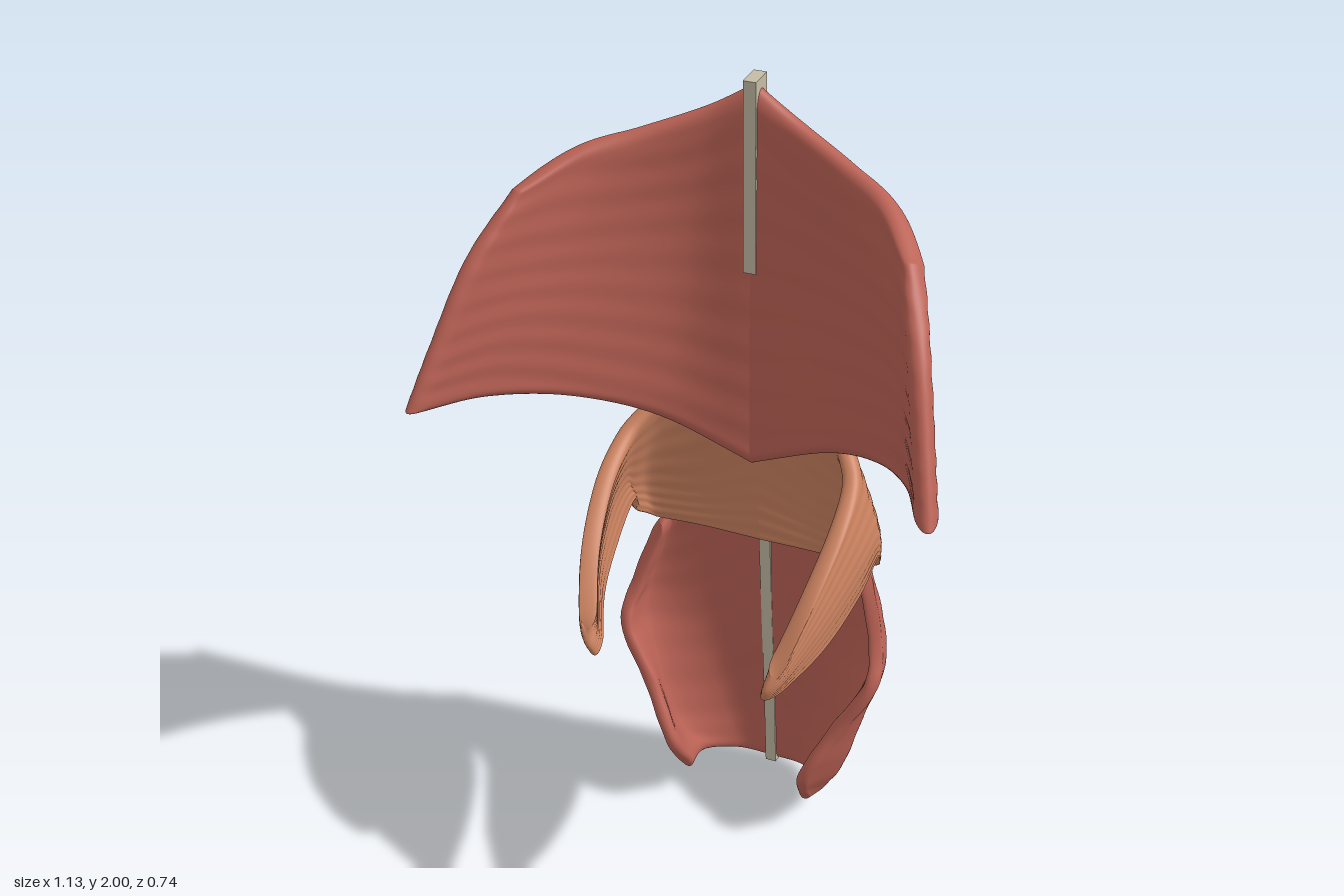
import * as THREE from 'three';
import { mergeVertices } from 'three/addons/utils/BufferGeometryUtils.js';

const redMuscle = new THREE.MeshStandardMaterial({ name: 'red muscle', color: 0xbb6255 });
const paleMuscle = new THREE.MeshStandardMaterial({ name: 'pale muscle', color: 0xcb8260 });
const tendon = new THREE.MeshStandardMaterial({ name: 'tendon', color: 0xc6bca6 });

// Each row is one muscle fibre from the rear midline to the free edge, lowest fibre first.
const UPPER = [
  [[0, 1.07, -0.17], [0.2, 1.18, -0.115], [0.36, 1.27, 0.01], [0.48, 1.34, 0.18], [0.558, 1.385, 0.365]],
  [[0, 1.36, -0.165], [0.17, 1.42, -0.135], [0.32, 1.465, -0.025], [0.44, 1.5, 0.13], [0.525, 1.51, 0.3]],
  [[0, 1.68, -0.163], [0.14, 1.68, -0.145], [0.28, 1.67, -0.06], [0.4, 1.66, 0.07], [0.478, 1.67, 0.21]],
  [[0, 1.985, -0.16], [0.1, 1.925, -0.145], [0.22, 1.88, -0.1], [0.33, 1.85, -0.03], [0.425, 1.79, 0.09]],
];
const MIDDLE = [
  [[0, 0.81, -0.235], [0.15, 0.81, -0.24], [0.265, 0.82, -0.22], [0.295, 0.86, -0.165],
    [0.3, 0.91, -0.13], [0.292, 0.87, -0.02], [0.262, 0.825, 0.13], [0.197, 0.785, 0.28]],
  [[0, 1.03, -0.222], [0.14, 0.97, -0.225], [0.262, 0.97, -0.19], [0.295, 0.98, -0.14],
    [0.303, 1.0, -0.09], [0.297, 0.975, 0.01], [0.266, 0.91, 0.15], [0.207, 0.815, 0.288]],
  [[0, 1.45, -0.18], [0.11, 1.33, -0.17], [0.2, 1.235, -0.14], [0.245, 1.185, -0.1],
    [0.266, 1.145, -0.05], [0.27, 1.085, 0.05], [0.252, 0.985, 0.17], [0.217, 0.85, 0.272]],
];
const LOWER = [
  [[0, 0.01, -0.35], [0.09, 0.025, -0.33], [0.16, 0.06, -0.25], [0.158, 0.095, -0.14]],
  [[0, 0.25, -0.33], [0.13, 0.2, -0.31], [0.225, 0.2, -0.2], [0.17, 0.23, -0.07]],
  [[0, 0.5, -0.3], [0.16, 0.4, -0.29], [0.27, 0.38, -0.2], [0.24, 0.38, -0.1]],
  [[0, 0.72, -0.28], [0.18, 0.58, -0.28], [0.3, 0.54, -0.23], [0.32, 0.52, -0.125]],
  [[0, 0.93, -0.265], [0.17, 0.76, -0.27], [0.28, 0.67, -0.25], [0.31, 0.62, -0.18]],
  [[0, 1.13, -0.245], [0.15, 0.93, -0.26], [0.23, 0.83, -0.255], [0.26, 0.79, -0.225]],
];

// Thick sheet through the fibres with rounded free edges; side is +1 (left) or -1 (right).
function sheetGeometry(rows, half, side) {
  const NU = 48, NV = 60, rim = 0.045;
  const fibres = rows.map(r => new THREE.CatmullRomCurve3(r.map(p => new THREE.Vector3(...p)), false, 'catmullrom'));
  const crossFibre = u => new THREE.CatmullRomCurve3(fibres.map(f => f.getPoint(u)), false, 'catmullrom');
  const index = [], front = [], back = [];
  const layer = (NU + 1) * (NV + 1);
  for (let i = 0; i <= NU; i++) {
    const u = Math.sin(Math.PI / 2 * i / NU);
    const here = crossFibre(u);
    const before = crossFibre(Math.max(0, u - 0.01)), after = crossFibre(Math.min(1, u + 0.01));
    for (let j = 0; j <= NV; j++) {
      const v = (1 - Math.cos(Math.PI * j / NV)) / 2;
      const p = here.getPoint(v);
      const du = after.getPoint(v).sub(before.getPoint(v));
      const dv = here.getPoint(Math.min(1, v + 0.01)).sub(here.getPoint(Math.max(0, v - 0.01)));
      const n = du.cross(dv);
      if (i === 0) n.x = 0;
      n.normalize();
      // Round off the rim and add a faint fibre ripple
      const d = Math.min(1, Math.max(0, Math.min(v, 1 - v, 1 - u)) / rim);
      const ripple = 1 + 0.04 * Math.sin(v * 55 + 2 * Math.sin(u * 5));
      const t = half * Math.sqrt(Math.max(0, 1 - (1 - d) ** 2)) * ripple;
      const a = p.clone().addScaledVector(n, t), b = p.clone().addScaledVector(n, -t);
      front.push(a.x * side, a.y, a.z);
      back.push(b.x * side, b.y, b.z);
    }
  }
  const quad = (a, b, c, d, flip) => flip ? index.push(a, c, b, a, d, c) : index.push(a, b, c, a, c, d);
  for (let i = 0; i < NU; i++) {
    for (let j = 0; j < NV; j++) {
      const a = i * (NV + 1) + j, b = a + NV + 1;
      quad(a, b, b + 1, a + 1, side < 0);
      quad(a + layer, b + layer, b + 1 + layer, a + 1 + layer, side > 0);
    }
  }
  let geometry = new THREE.BufferGeometry();
  geometry.setAttribute('position', new THREE.Float32BufferAttribute([...front, ...back], 3));
  geometry.setIndex(index);
  geometry = mergeVertices(geometry, 1e-5);
  geometry.computeVertexNormals();
  return geometry;
}

function muscle(name, rows, half, material) {
  const group = new THREE.Group();
  group.name = name;
  for (const side of [1, -1]) {
    const mesh = new THREE.Mesh(sheetGeometry(rows, half, side), material);
    mesh.name = name + (side > 0 ? 'Left' : 'Right');
    group.add(mesh);
  }
  return group;
}

export function createModel() {
  const model = new THREE.Group();
  model.name = 'throatMuscles';
  model.add(muscle('upperConstrictor', UPPER, 0.023, redMuscle));
  model.add(muscle('middleConstrictor', MIDDLE, 0.02, paleMuscle));
  model.add(muscle('lowerConstrictor', LOWER, 0.017, redMuscle));

  // Tendon seam along the midline, drawn as a side profile (z, y)
  const profile = [
    [-0.188, 2], [-0.194, 1.6], [-0.202, 1.45], [-0.237, 1.22], [-0.265, 1.12], [-0.303, 0.72], [-0.352, 0.25], [-0.37, 0],
    [-0.325, 0.01], [-0.305, 0.25], [-0.25, 0.8], [-0.21, 1.2], [-0.17, 1.55], [-0.135, 1.57], [-0.128, 2],
  ].map(([z, y]) => new THREE.Vector2(-z, y));
  const width = 0.028;
  const seam = new THREE.ExtrudeGeometry(new THREE.Shape(profile), { depth: width, bevelEnabled: false });
  seam.translate(0, 0, -width / 2);
  seam.rotateY(Math.PI / 2);
  const raphe = new THREE.Mesh(seam, tendon);
  raphe.name = 'midlineSeam';
  model.add(raphe);
  return model;
}
